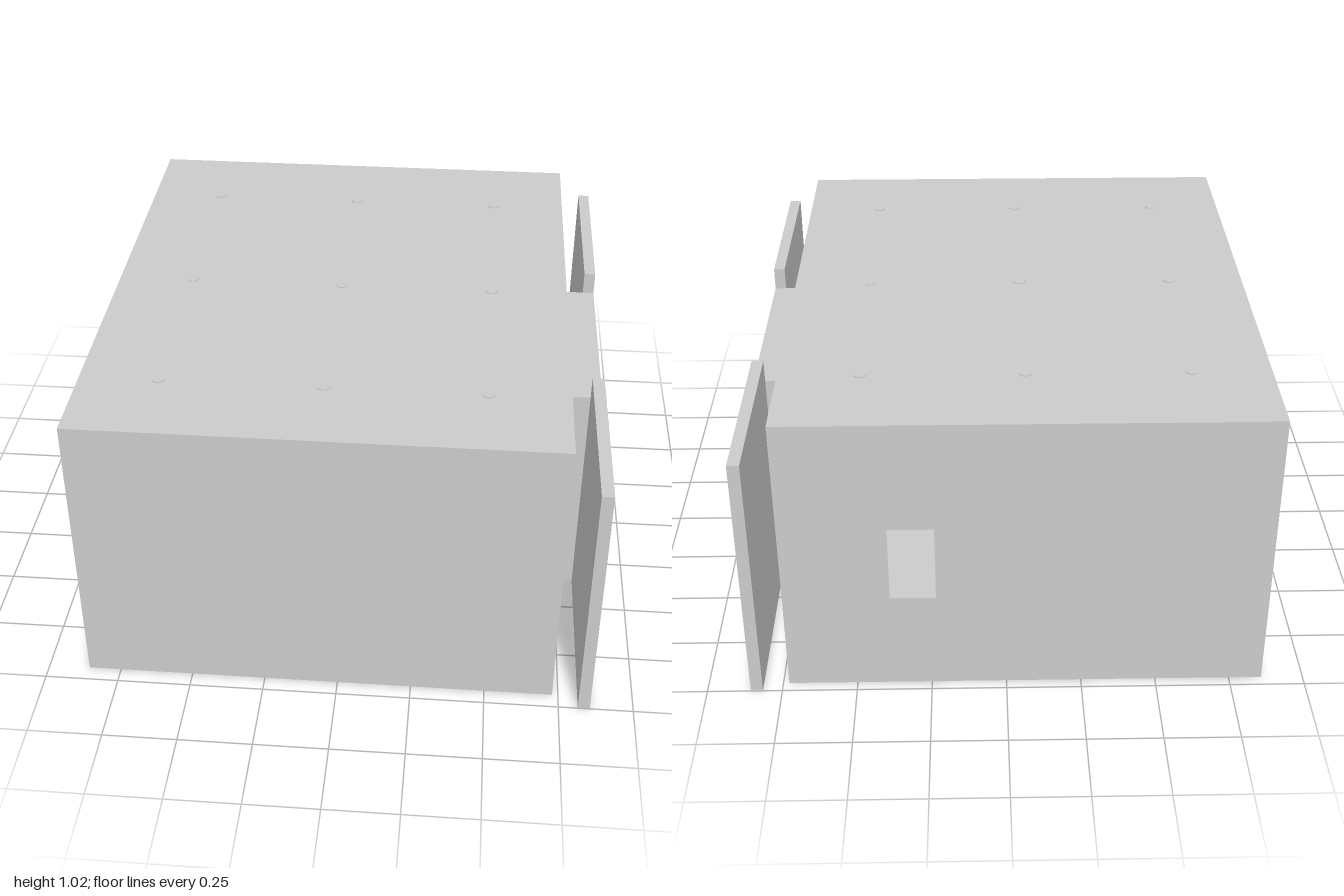
import * as THREE from 'three';

const X0 = -0.86, X1 = 0.73, XD = 0.855; // room back, room door wall, porch edge
const Z0 = -0.963, Z1 = 0.945, H = 1.015;
const PZ = 0.353, PH = 0.82; // porch half width and height

const sheet = new THREE.MeshStandardMaterial({ color: 0xcccccc, side: THREE.DoubleSide, flatShading: true });
const solid = new THREE.MeshStandardMaterial({ color: 0xcccccc });

const rect = (a, b, c, d, Type = THREE.Shape) =>
  new Type([[a, b], [c, b], [c, d], [a, d]].map(([x, y]) => new THREE.Vector2(x, y)));

export function createModel() {
  const group = new THREE.Group();
  const add = (name, geometry, material) => {
    const mesh = new THREE.Mesh(geometry, material);
    mesh.name = name;
    group.add(mesh);
    return mesh;
  };
  // Thin panels: outward normal along z, x or y
  const panelZ = (name, shape, z, back) => {
    const g = new THREE.ShapeGeometry(shape);
    if (back) { // reverse winding so that the outside faces -z
      const i = g.index.array;
      for (let k = 0; k < i.length; k += 3) [i[k], i[k + 1]] = [i[k + 1], i[k]];
      g.computeVertexNormals();
    }
    return add(name, g.translate(0, 0, z), sheet);
  };
  const panelX = (name, shape, x, turn) =>
    add(name, new THREE.ShapeGeometry(shape).rotateY(turn * Math.PI / 2).translate(x, 0, 0), sheet);
  const panelY = (name, x0, x1, z0, z1, y, up) =>
    add(name, new THREE.PlaneGeometry(x1 - x0, z1 - z0).rotateX(-up * Math.PI / 2)
      .translate((x0 + x1) / 2, y, (z0 + z1) / 2), sheet);

  // Room shell
  panelZ('frontWall', rect(X0, 0, X1, H), Z1);
  const backWall = rect(X0, 0, X1, H);
  backWall.holes.push(rect(0.23, 0.355, 0.38, 0.627, THREE.Path)); // window
  panelZ('backWall', backWall, Z0, true);
  panelX('endWall', rect(Z0, 0, Z1, H), X0, -1);
  const doorWall = new THREE.Shape([ // notched for the doorway
    [-Z1, 0], [-PZ, 0], [-PZ, PH], [PZ, PH], [PZ, 0], [-Z0, 0], [-Z0, H], [-Z1, H],
  ].map(([x, y]) => new THREE.Vector2(x, y)));
  panelX('doorWall', doorWall, X1, 1);
  panelY('roof', X0, X1, Z0, Z1, H, 1);
  panelY('floor', X0, X1, Z0, Z1, 0, -1);

  // Porch leading out through the doorway
  panelY('porchRoof', X1, XD, -PZ, PZ, PH, 1);
  panelY('porchFloor', X1, XD, -PZ, PZ, 0, -1);
  for (const s of [1, -1]) {
    panelZ('porchSide', rect(X1, 0, XD, PH), s * PZ, s < 0);
    // Sliding door parked beside the porch
    add('slidingDoor', new THREE.BoxGeometry(0.04, 0.9, 1 - PZ), solid)
      .position.set(0.835, 0.45, s * (1 + PZ) / 2);
  }

  // Ceiling lamps, just breaking through the roof
  const lamp = new THREE.CylinderGeometry(0.02, 0.02, 0.03, 16);
  for (const x of [-0.6, -0.065, 0.465])
    for (const z of [-0.655, 0, 0.65])
      add('ceilingLamp', lamp, solid).position.set(x, 1.003, z);

  return group;
}
